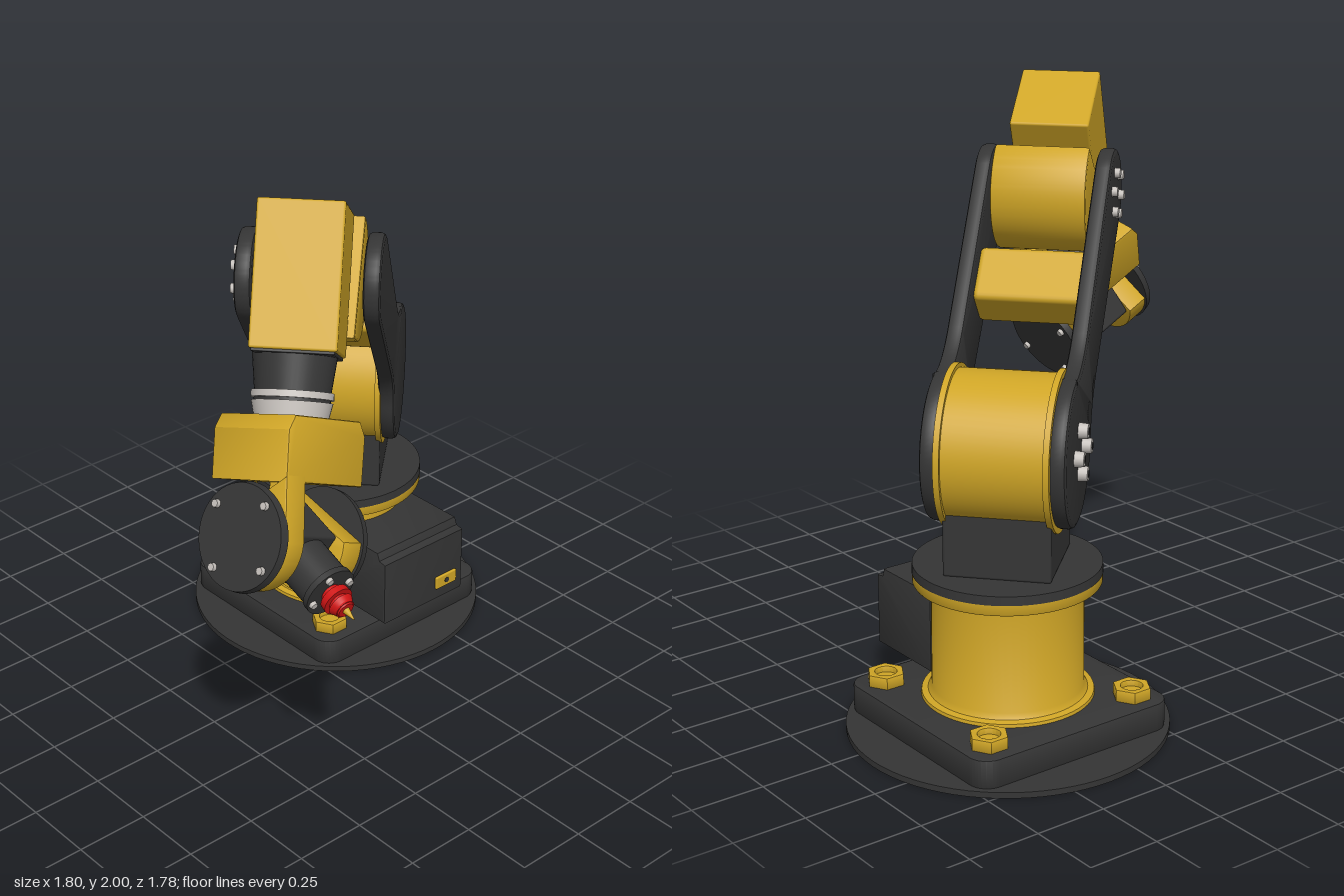
import * as THREE from 'three';
import { toCreasedNormals } from 'three/addons/utils/BufferGeometryUtils.js';
import { RoundedBoxGeometry } from 'three/addons/geometries/RoundedBoxGeometry.js';

const material = (name, color) => Object.assign(new THREE.MeshStandardMaterial({ color }), { name });

export function createModel() {
  const yellow = material('safety yellow', 0xcfa526);
  const dark = material('charcoal', 0x353535);
  const silver = material('steel', 0xc4bfba);
  const red = material('red', 0xd01414);

  const add = (parent, name, geo, mat, x = 0, y = 0, z = 0) => {
    const m = new THREE.Mesh(geo, mat);
    m.name = name;
    m.position.set(x, y, z);
    parent.add(m);
    return m;
  };
  const group = (parent, name, x = 0, y = 0, z = 0) => {
    const g = new THREE.Group();
    g.name = name;
    g.position.set(x, y, z);
    parent.add(g);
    return g;
  };
  const cyl = (rTop, rBottom, h, sides = 48) => new THREE.CylinderGeometry(rTop, rBottom, h, sides);
  const box = (w, h, d, r = 0.01) => new RoundedBoxGeometry(w, h, d, 2, r);
  // Extrusion centred on its depth, with the bevel kept inside the outline
  const slab = (shape, depth, bevel = 0.01) => {
    const geo = new THREE.ExtrudeGeometry(shape, {
      depth: depth - 2 * bevel, bevelEnabled: bevel > 0, bevelSize: bevel,
      bevelThickness: bevel, bevelOffset: -bevel, bevelSegments: 2, curveSegments: 28,
    });
    geo.translate(0, 0, -depth / 2 + bevel);
    return toCreasedNormals(geo, 0.5);
  };
  const polygon = (points) => new THREE.Shape(points.map(([x, y]) => new THREE.Vector2(x, y)));
  // Cylinder whose axis runs along z
  const rod = (parent, name, r1, r2, z0, z1, mat, x = 0, y = 0, sides = 40) => {
    const m = add(parent, name, cyl(r2, r1, z1 - z0, sides), mat, x, y, (z0 + z1) / 2);
    m.rotation.x = Math.PI / 2;
    return m;
  };

  const root = new THREE.Group();
  root.name = 'robotArm';

  // Base: floor disc, rounded plate, nuts and column
  const base = group(root, 'base', 0.373, 0, -0.345);
  add(base, 'floorDisc', cyl(0.533, 0.533, 0.02, 72), dark, 0, 0.01);
  const h = 0.385, r = 0.07;
  const square = new THREE.Shape();
  square.absarc(h - r, h - r, r, 0, Math.PI / 2);
  square.absarc(r - h, h - r, r, Math.PI / 2, Math.PI);
  square.absarc(r - h, r - h, r, Math.PI, Math.PI * 1.5);
  square.absarc(h - r, r - h, r, Math.PI * 1.5, Math.PI * 2);
  add(base, 'basePlate', slab(square, 0.098, 0.008), dark, 0, 0.067).rotation.x = -Math.PI / 2;
  const hex = polygon([0, 1, 2, 3, 4, 5].map((i) => [0.065 * Math.cos(i * Math.PI / 3), 0.065 * Math.sin(i * Math.PI / 3)]));
  hex.holes.push(new THREE.Path().absarc(0, 0, 0.036, 0, Math.PI * 2, true));
  for (const sx of [-1, 1]) for (const sz of [-1, 1]) {
    add(base, 'baseNut', slab(hex, 0.042, 0.004), yellow, sx * 0.288, 0.136, sz * 0.288).rotation.x = -Math.PI / 2;
    add(base, 'baseBolt', cyl(0.037, 0.037, 0.02, 24), yellow, sx * 0.288, 0.126, sz * 0.288);
  }
  const column = [[0.285, 0.115], [0.283, 0.127], [0.262, 0.132], [0.25, 0.15], [0.248, 0.505],
    [0.305, 0.507], [0.308, 0.512], [0.308, 0.543], [0, 0.543]];
  add(base, 'column', toCreasedNormals(new THREE.LatheGeometry(column.map(([x, y]) => new THREE.Vector2(x, y)), 64), 0.6), yellow);
  add(base, 'turntable', cyl(0.308, 0.31, 0.03, 64), dark, 0, 0.558);

  // Connector box on the front of the column
  const profile = polygon([[-0.18, 0.17], [0.13, 0.17], [0.13, 0.415], [0.1, 0.42], [0.09, 0.448], [-0.18, 0.448]]);
  const housing = add(base, 'connectorBox', slab(profile, 0.385, 0.006), dark, 0, 0, 0.345);
  housing.rotation.y = -Math.PI / 2;
  add(base, 'connectorPlate', box(0.1, 0.05, 0.012, 0.005), yellow, 0.107, 0.237, 0.479);
  add(base, 'connectorSlot', new THREE.CylinderGeometry(0.01, 0.01, 0.004, 16), dark, 0.107, 0.237, 0.485).rotation.x = Math.PI / 2;

  // Arm assembly: local x points forward along the reach
  const arm = group(root, 'arm', 0.373, 0, -0.345);
  arm.rotation.y = -2.412;
  add(arm, 'shoulderBracket', box(0.35, 0.25, 0.35), dark, 0, 0.695, 0);
  rod(arm, 'shoulderDrum', 0.248, 0.248, -0.17, 0.17, yellow, 0, 0.955, 64);
  for (const z of [-0.172, 0.172]) rod(arm, 'shoulderRim', 0.262, 0.262, z - 0.01, z + 0.01, yellow, 0, 0.955, 64);

  // Two link plates with a narrow waist
  const L = 0.98, a = 0.87;
  const link = new THREE.Shape();
  link.absarc(0, 0, 0.245, a, Math.PI * 2 - a);
  link.quadraticCurveTo(0.235, -0.125, 0.36, -0.128);
  link.absarc(L, 0, 0.15, -Math.PI / 2, Math.PI / 2);
  link.lineTo(0.36, 0.128);
  link.quadraticCurveTo(0.235, 0.125, 0.157, 0.188);
  const upper = group(arm, 'upperArm', 0, 0.955, 0);
  upper.rotation.z = Math.atan2(0.68, 0.705);
  for (const z of [-0.203, 0.203]) add(upper, 'linkPlate', slab(link, 0.056, 0.016), dark, 0, 0, z);
  add(upper, 'crossBrace', box(0.2, 0.16, 0.36, 0.02), yellow, 0.6, 0, 0);
  for (const x of [-0.05, 0.05]) for (const y of [-0.05, 0.05]) {
    rod(upper, 'shoulderScrew', 0.027, 0.024, 0.225, 0.262, silver, x, y, 16);
    rod(upper, 'shoulderScrewSocket', 0.012, 0.012, 0.26, 0.264, dark, x, y, 6);
  }
  for (let i = 0; i < 6; i++) {
    const t = i * Math.PI / 3;
    rod(upper, 'elbowScrew', 0.018, 0.016, 0.225, 0.25, silver, L + 0.075 * Math.cos(t), 0.075 * Math.sin(t), 14);
  }

  // Elbow housing and forearm block: local x runs down the forearm
  const forearm = group(arm, 'forearm', 0.705, 1.635, 0);
  forearm.rotation.z = -1.032;
  const elbow = new THREE.Shape();
  elbow.moveTo(-0.2, 0.14);
  elbow.absarc(0, 0, 0.2, Math.PI, Math.PI * 2);
  elbow.lineTo(0.2, 0.14);
  add(forearm, 'elbowHousing', slab(elbow, 0.32, 0.008), yellow);
  add(forearm, 'forearmBlock', box(0.454, 0.284, 0.27, 0.008), yellow, 0.037, 0.262, 0);
  add(forearm, 'forearmEndPlate', box(0.012, 0.27, 0.255, 0.004), dark, 0.267, 0.262, 0);

  // Wrist head: local y runs back up the forearm, z is its open side
  const head = group(root, 'wristHead', -0.64, 1.055, 0.55);
  const up = new THREE.Vector3(0.382, 0.859, -0.342).normalize();
  const side = new THREE.Vector3(0.9, -0.427, -0.069).addScaledVector(up, 0).normalize();
  const front = new THREE.Vector3().crossVectors(side, up).normalize();
  side.crossVectors(up, front);
  head.quaternion.setFromRotationMatrix(new THREE.Matrix4().makeBasis(side, up, front));
  add(head, 'wristCollar', cyl(0.132, 0.118, 0.12), dark, 0, 0.505, 0);
  add(head, 'wristRing', cyl(0.128, 0.128, 0.022), silver, 0, 0.437, 0);
  add(head, 'wristGap', cyl(0.118, 0.118, 0.012), dark, 0, 0.421, 0);
  add(head, 'wristLowerRing', cyl(0.126, 0.115, 0.05), silver, 0, 0.392, 0);
  const crown = polygon([[-0.18, 0.17], [0.18, 0.17], [0.182, 0.325], [0.155, 0.37], [-0.155, 0.37], [-0.182, 0.325]]);
  add(head, 'headBlock', slab(crown, 0.3, 0.008), yellow);

  // Fork prongs with screwed covers
  const prong = new THREE.Shape();
  prong.moveTo(-0.15, 0.19);
  prong.absarc(0, 0, 0.16, Math.PI, Math.PI * 2);
  prong.lineTo(0.15, 0.19);
  for (const s of [-1, 1]) {
    const fork = group(head, s > 0 ? 'leftFork' : 'rightFork');
    fork.rotation.y = s * Math.PI / 2;
    add(fork, 'prong', slab(prong, 0.088, 0.006), yellow, 0, 0, 0.137);
    rod(fork, 'forkCover', 0.168, 0.163, 0.178, 0.205, dark, 0, 0, 48);
    for (let i = 0; i < 4; i++) {
      const t = Math.PI / 4 + i * Math.PI / 2;
      rod(fork, 'coverScrew', 0.014, 0.012, 0.2, 0.218, silver, 0.135 * Math.cos(t), 0.135 * Math.sin(t), 12);
    }
  }

  // Tool carried between the prongs
  const tool = group(head, 'tool');
  tool.rotation.x = 0.655;
  add(tool, 'knuckle', box(0.18, 0.19, 0.22), dark, 0, 0, -0.01);
  rod(tool, 'toolBarrel', 0.082, 0.08, 0.08, 0.225, dark);
  rod(tool, 'toolFlange', 0.086, 0.086, 0.225, 0.245, dark);
  for (let i = 0; i < 4; i++) {
    const t = Math.PI / 4 + i * Math.PI / 2;
    rod(tool, 'flangeScrew', 0.013, 0.011, 0.243, 0.257, silver, 0.066 * Math.cos(t), 0.066 * Math.sin(t), 12);
  }
  rod(tool, 'nozzleBase', 0.032, 0.032, 0.24, 0.32, red);
  rod(tool, 'nozzleCollar', 0.048, 0.05, 0.262, 0.285, red);
  rod(tool, 'nozzleNose', 0.042, 0.026, 0.297, 0.325, red);
  rod(tool, 'toolTip', 0.013, 0.002, 0.32, 0.365, yellow, 0, 0, 16);

  return root;
}
